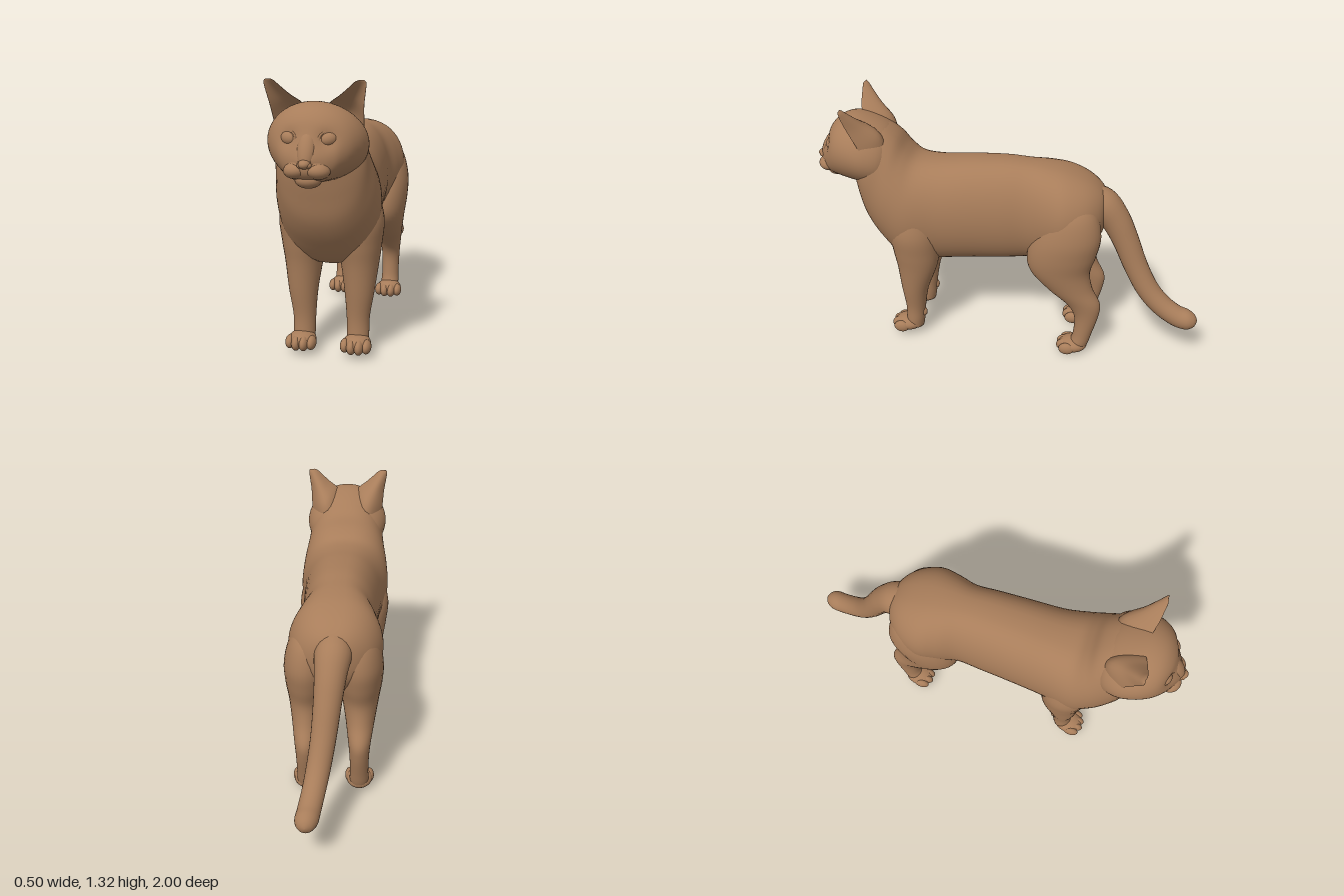
import * as THREE from 'three';

const fur = new THREE.MeshStandardMaterial({ color: 0xa87d5a });
fur.name = 'brown fur';

// Smoothly resample rows of numbers
function resample(rows, per = 5) {
  const out = [], n = rows.length;
  const cr = (a, b, c, d, t) =>
    0.5 * (2 * b + (c - a) * t + (2 * a - 5 * b + 4 * c - d) * t * t + (3 * b - a - 3 * c + d) * t * t * t);
  for (let i = 0; i < n - 1; i++) {
    const a = rows[Math.max(i - 1, 0)], b = rows[i], c = rows[i + 1], d = rows[Math.min(i + 2, n - 1)];
    for (let k = 0; k < per; k++) out.push(b.map((_, j) => cr(a[j], b[j], c[j], d[j], k / per)));
  }
  out.push(rows[n - 1]);
  return out;
}

// Skin a closed surface over rings; ringPoint(row, angle) gives [x, y, z]
function loft(name, rows, ringPoint, { sides = 32, warp } = {}) {
  const pos = [], idx = [], stations = resample(rows), m = stations.length;
  const ends = [[0, 0, 0], [0, 0, 0]];
  stations.forEach((row, i) => {
    for (let j = 0; j < sides; j++) {
      const p = ringPoint(row, (j / sides) * Math.PI * 2);
      pos.push(...p);
      if (i === 0) p.forEach((v, k) => (ends[0][k] += v / sides));
      if (i === m - 1) p.forEach((v, k) => (ends[1][k] += v / sides));
    }
  });
  pos.push(...ends[0], ...ends[1]);
  for (let j = 0; j < sides; j++) {
    const k = (j + 1) % sides, last = (m - 1) * sides;
    for (let i = 0; i < m - 1; i++) {
      const a = i * sides + j, b = i * sides + k;
      idx.push(a, b, a + sides, b, b + sides, a + sides);
    }
    idx.push(m * sides, k, j, m * sides + 1, last + j, last + k);
  }
  // Flip the faces when they point inward
  const at = (i) => new THREE.Vector3().fromArray(pos, i * 3);
  let volume = 0;
  for (let i = 0; i < idx.length; i += 3) volume += at(idx[i]).dot(at(idx[i + 1]).cross(at(idx[i + 2])));
  if (volume < 0) idx.reverse();
  if (warp) for (let i = 0; i < pos.length; i += 3) pos[i + 2] += warp(pos[i], pos[i + 1], pos[i + 2]);
  const g = new THREE.BufferGeometry();
  g.setAttribute('position', new THREE.Float32BufferAttribute(pos, 3));
  g.setIndex(idx);
  g.computeVertexNormals();
  const mesh = new THREE.Mesh(g, fur);
  mesh.name = name;
  return mesh;
}

const ball = new THREE.SphereGeometry(1, 24, 16);
function ellipsoid(name, [x, y, z], [rx, ry, rz], rot = [0, 0, 0]) {
  const mesh = new THREE.Mesh(ball, fur);
  mesh.name = name;
  mesh.position.set(x, y, z);
  mesh.scale.set(rx, ry, rz);
  mesh.rotation.set(...rot);
  return mesh;
}

// Rings spanning a top and a bottom point: [topZ, topY, bottomZ, bottomY, halfWidth]
const spanRing = (power) => ([tz, ty, bz, by, w], a) => {
  const t = (1 + Math.cos(a)) / 2, s = Math.sin(a);
  return [w * Math.sign(s) * Math.abs(s) ** power, by + (ty - by) * t, bz + (tz - bz) * t];
};

// Level rings for legs: [y, centreX, centreZ, radiusX, radiusZ]
const legRing = (s, dx, dy) => ([y, cx, cz, rx, rz], a) =>
  [s * (cx + dx + rx * Math.cos(a)), y + dy, cz + rz * Math.sin(a)];

function paw(name, x, y, z) {
  const g = new THREE.Group();
  g.name = name;
  g.position.set(x, y, z);
  g.add(ellipsoid('pawPad', [0, 0.042, 0.005], [0.066, 0.042, 0.075]));
  [-0.051, -0.018, 0.018, 0.051].forEach((tx, i) => {
    const inner = i === 1 || i === 2;
    g.add(ellipsoid('toe', [tx, 0.036, inner ? 0.05 : 0.034], [0.023, inner ? 0.036 : 0.033, 0.042]));
  });
  return g;
}

export function createModel() {
  const cat = new THREE.Group();
  cat.name = 'cat';

  // Torso, chest and neck
  cat.add(loft('body', [
    [-0.50, 0.85, -0.495, 0.75, 0.04],
    [-0.47, 0.915, -0.475, 0.67, 0.12],
    [-0.40, 0.97, -0.41, 0.59, 0.192],
    [-0.30, 1.01, -0.30, 0.54, 0.23],
    [-0.20, 1.028, -0.20, 0.52, 0.212],
    [-0.10, 1.035, -0.10, 0.505, 0.184],
    [0.02, 1.04, 0.02, 0.488, 0.19],
    [0.20, 1.03, 0.20, 0.472, 0.202],
    [0.35, 1.015, 0.37, 0.453, 0.215],
    [0.46, 1.02, 0.53, 0.445, 0.24],
    [0.52, 1.065, 0.65, 0.56, 0.232],
    [0.565, 1.125, 0.73, 0.68, 0.213],
    [0.62, 1.165, 0.765, 0.80, 0.198],
    [0.68, 1.19, 0.785, 0.89, 0.165],
  ], spanRing(0.82), { sides: 48 }));

  // Skull narrowing into the muzzle, with hollows at the eyes
  cat.add(loft('head', [
    [0.57, 1.11, 0.57, 0.92, 0.12],
    [0.62, 1.165, 0.62, 0.87, 0.188],
    [0.70, 1.205, 0.70, 0.87, 0.218],
    [0.78, 1.225, 0.78, 0.88, 0.21],
    [0.85, 1.21, 0.85, 0.89, 0.18],
    [0.90, 1.165, 0.90, 0.895, 0.137],
    [0.93, 1.10, 0.925, 0.90, 0.1],
    [0.955, 1.045, 0.94, 0.91, 0.066],
    [0.972, 1.015, 0.955, 0.94, 0.034],
  ], spanRing(1), {
    sides: 48,
    warp: (x, y, z) => z < 0.82 ? 0 :
      -0.016 * Math.exp(-((Math.abs(x) - 0.083) ** 2 + (y - 1.083) ** 2) / 0.0018),
  }));

  // Nose, bridge, muzzle and chin
  cat.add(ellipsoid('noseBridge', [0, 1.045, 0.928], [0.04, 0.09, 0.036], [-0.5, 0, 0]));
  cat.add(ellipsoid('nose', [0, 0.99, 0.97], [0.026, 0.02, 0.03]));
  cat.add(ellipsoid('muzzle', [0, 0.968, 0.915], [0.09, 0.055, 0.062]));
  cat.add(ellipsoid('chin', [0, 0.915, 0.905], [0.058, 0.037, 0.05]));

  for (const s of [1, -1]) {
    const side = s > 0 ? 'left' : 'right';

    // Eye with lid rim
    cat.add(ellipsoid(side + 'Eye', [s * 0.083, 1.083, 0.889], [0.039, 0.031, 0.03], [0, s * 0.5, s * 0.2]));
    const lid = new THREE.Mesh(new THREE.TorusGeometry(0.039, 0.007, 8, 32), fur);
    lid.name = side + 'Eyelid';
    lid.position.set(s * 0.083, 1.084, 0.897);
    lid.rotation.set(-0.15, s * 0.5, s * 0.2);
    lid.scale.set(1.04, 0.82, 1);
    cat.add(lid);

    // Whisker pad and nostril wing
    cat.add(ellipsoid(side + 'WhiskerPad', [s * 0.045, 0.958, 0.932], [0.054, 0.036, 0.05], [0, s * 0.4, s * -0.12]));
    cat.add(ellipsoid(side + 'Nostril', [s * 0.017, 0.985, 0.972], [0.014, 0.012, 0.018]));

    // Cupped ear: inner edge xyz, outer edge xyz, backward bow, half thickness
    cat.add(loft(side + 'Ear', [
      [0.02, 1.17, 0.755, 0.19, 1.04, 0.69, 0.1, 0.02],
      [0.06, 1.218, 0.77, 0.198, 1.12, 0.715, 0.1, 0.016],
      [0.105, 1.25, 0.783, 0.205, 1.205, 0.755, 0.064, 0.011],
      [0.15, 1.288, 0.79, 0.216, 1.27, 0.778, 0.03, 0.009],
      [0.172, 1.308, 0.792, 0.22, 1.303, 0.786, 0.012, 0.007],
      [0.188, 1.315, 0.791, 0.212, 1.315, 0.788, 0.004, 0.003],
    ], ([ix, iy, iz, ox, oy, oz, bow, th], a) => {
      const c = Math.cos(a), t = (1 - c) / 2, d = bow * (1 - c * c) + th * Math.sin(a);
      return [s * (ix + (ox - ix) * t - d * 0.1), iy + (oy - iy) * t, iz + (oz - iz) * t - d];
    }, { sides: 28 }));

    // Front leg from shoulder to wrist
    cat.add(loft(side + 'FrontLeg', [
      [0.88, 0.12, 0.47, 0.04, 0.04],
      [0.80, 0.12, 0.475, 0.09, 0.095],
      [0.66, 0.126, 0.475, 0.121, 0.13],
      [0.54, 0.13, 0.47, 0.108, 0.122],
      [0.44, 0.134, 0.47, 0.09, 0.104],
      [0.30, 0.135, 0.488, 0.07, 0.071],
      [0.18, 0.13, 0.492, 0.055, 0.053],
      [0.10, 0.13, 0.497, 0.053, 0.05],
      [0.05, 0.13, 0.505, 0.05, 0.05],
    ], legRing(s, 0, 0)));
    cat.add(ellipsoid(side + 'WristPad', [s * 0.135, 0.138, 0.445], [0.018, 0.024, 0.014]));
    cat.add(paw(side + 'FrontPaw', s * 0.132, 0.022, 0.532));

    // Hind leg from haunch to hock and heel
    const dx = s > 0 ? 0.012 : -0.005, dy = s > 0 ? 0 : 0.008;
    cat.add(loft(side + 'HindLeg', [
      [0.92, 0.095, -0.33, 0.04, 0.05],
      [0.83, 0.11, -0.33, 0.095, 0.125],
      [0.71, 0.122, -0.315, 0.115, 0.168],
      [0.60, 0.125, -0.29, 0.112, 0.175],
      [0.50, 0.128, -0.283, 0.095, 0.155],
      [0.40, 0.13, -0.335, 0.075, 0.12],
      [0.31, 0.13, -0.408, 0.058, 0.09],
      [0.23, 0.13, -0.43, 0.049, 0.063],
      [0.12, 0.13, -0.415, 0.046, 0.049],
      [0.06, 0.13, -0.398, 0.048, 0.05],
      [0.02, 0.13, -0.39, 0.042, 0.042],
    ], legRing(s, dx, dy)));
    cat.add(paw(side + 'HindPaw', s * (0.13 + dx), dy, -0.372));
  }

  // Tail swept back and to one side: [x, y, z, radius, tangentY, tangentZ]
  cat.add(loft('tail', [
    [0, 0.88, -0.37, 0.06, -0.4, -0.92],
    [0, 0.83, -0.462, 0.088, -0.65, -0.76],
    [0.008, 0.75, -0.54, 0.076, -0.82, -0.57],
    [0.018, 0.64, -0.6, 0.067, -0.91, -0.41],
    [0.032, 0.50, -0.662, 0.061, -0.89, -0.46],
    [0.05, 0.38, -0.73, 0.058, -0.80, -0.60],
    [0.067, 0.30, -0.805, 0.056, -0.62, -0.78],
    [0.082, 0.25, -0.885, 0.055, -0.35, -0.94],
    [0.09, 0.235, -0.945, 0.054, -0.1, -0.99],
    [0.092, 0.233, -0.98, 0.038, 0, -1],
    [0.093, 0.233, -0.995, 0.018, 0, -1],
    [0.093, 0.233, -1, 0.002, 0, -1],
  ], ([x, y, z, r, ty, tz], a) =>
    [x + r * Math.cos(a), y - tz * r * Math.sin(a), z + ty * r * Math.sin(a)], { sides: 24 }));

  return cat;
}
